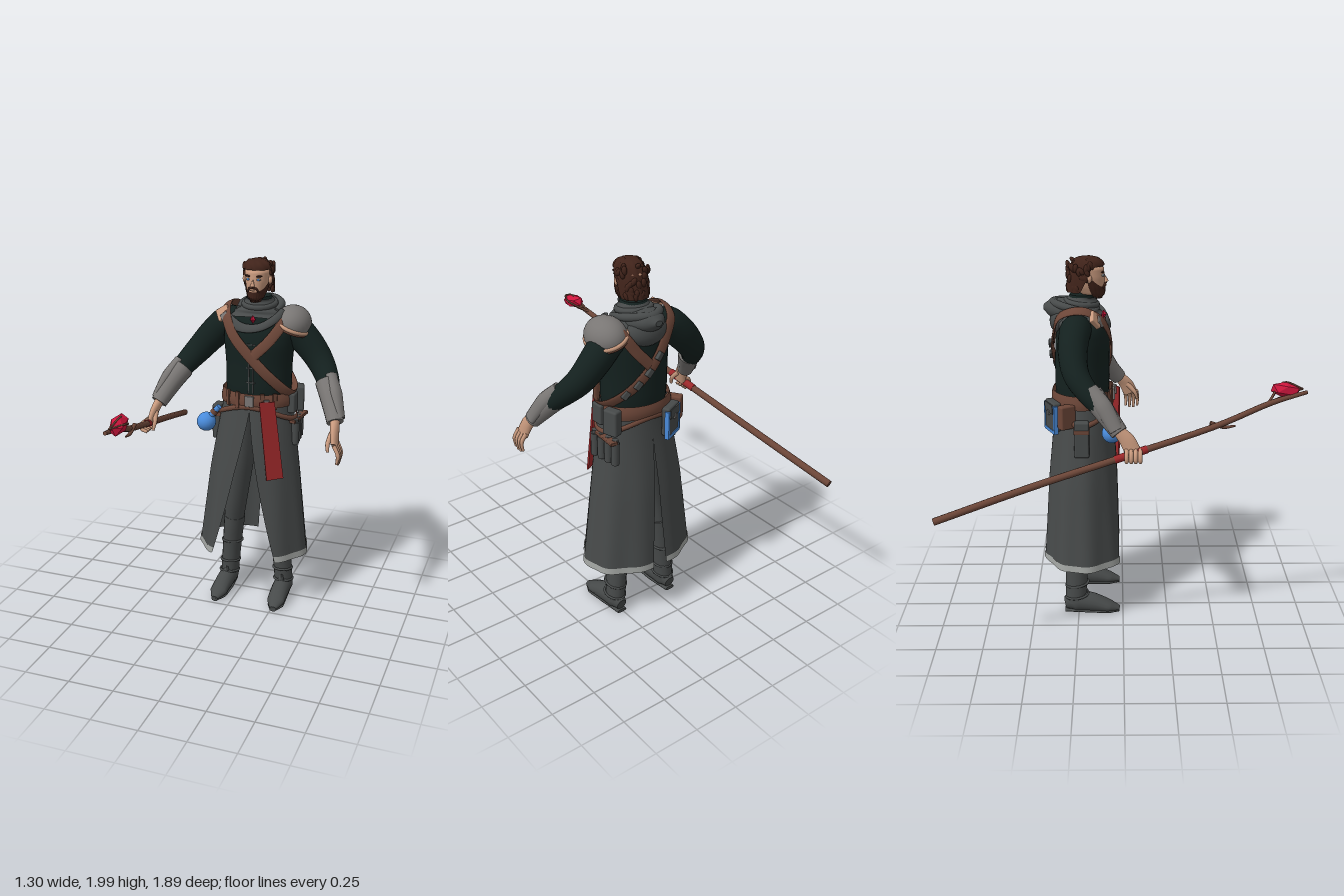
import * as THREE from 'three';
import { RoundedBoxGeometry } from 'three/addons/geometries/RoundedBoxGeometry.js';

const mat = (name, color, double) => {
  const m = new THREE.MeshStandardMaterial({ color });
  m.name = name;
  if (double) m.side = THREE.DoubleSide;
  return m;
};
const V = (x, y, z) => new THREE.Vector3(x, y, z);
const { lerp, smoothstep } = THREE.MathUtils;
const C = 0.105, PI = Math.PI;

export function createModel() {
  const coat = mat('charcoalCloth', 0x474a4a, true), metal = mat('greySteel', 0x797674), pale = mat('paleTrim', 0xa2a5a2, true);
  const shirt = mat('darkGreenWool', 0x14211f), leather = mat('brownLeather', 0x6c4638, true);
  const skin = mat('skin', 0xc99a7e), hair = mat('brownHair', 0x40231a, true);
  const blue = mat('blueGlass', 0x4a8cdc), red = mat('redCloth', 0x9c282a, true), gem = mat('redCrystal', 0xcc163c);
  const root = new THREE.Group();

  const add = (name, geo, m, p = [0, 0, 0], r = [0, 0, 0], s = [1, 1, 1], parent = root) => {
    const mesh = new THREE.Mesh(geo, m);
    mesh.name = name;
    mesh.position.set(...p); mesh.rotation.set(...r); mesh.scale.set(...s);
    parent.add(mesh);
    return mesh;
  };
  const box = (name, m, size, p, r) => add(name, new RoundedBoxGeometry(...size, 2, Math.min(...size) * 0.2), m, p, r);
  const ball = (name, m, p, s, r) => add(name, new THREE.SphereGeometry(1, 20, 14), m, p, r, s);

  // Surface from fn(u, v); u runs around, v runs along
  const grid = (fn, nu, nv, closed = true, caps = false) => {
    const pos = [], idx = [], w = closed ? nu : nu + 1;
    for (let j = 0; j <= nv; j++) for (let i = 0; i < w; i++) pos.push(...fn(i / nu, j / nv).toArray());
    for (let j = 0; j < nv; j++) for (let i = 0; i < nu; i++) {
      const k = (i + 1) % w, a = j * w + i, b = j * w + k;
      idx.push(a, b, a + w, b, b + w, a + w);
    }
    if (caps) for (const end of [0, 1]) {
      const base = pos.length / 3, c = V(0, 0, 0);
      for (let i = 0; i < nu; i++) { const p = fn(i / nu, end); c.addScaledVector(p, 1 / nu); pos.push(...p.toArray()); }
      pos.push(...c.toArray());
      for (let i = 0; i < nu; i++) {
        const a = base + i, b = base + (i + 1) % nu;
        idx.push(base + nu, end ? a : b, end ? b : a);
      }
    }
    const g = new THREE.BufferGeometry();
    g.setAttribute('position', new THREE.Float32BufferAttribute(pos, 3));
    g.setIndex(idx);
    g.computeVertexNormals();
    return g;
  };
  // Tube through rows [x, y, z, radius along ref, other radius]
  const limb = (name, m, rows, { ref = V(0, 0, 1), center, nu = 14, nv = rows.length * 4, closed = false } = {}) => {
    const curve = new THREE.CatmullRomCurve3(rows.map(r => V(r[0], r[1], r[2])), closed);
    const last = closed ? rows.length : rows.length - 1;
    return add(name, grid((u, v) => {
      const p = curve.getPoint(v), T = curve.getTangent(v), f = v * last, i = Math.min(Math.floor(f), last - 1);
      const A = rows[i], B = rows[(i + 1) % rows.length], k = f - i;
      const N = center ? p.clone().sub(center) : ref.clone();
      N.addScaledVector(T, -N.dot(T)).normalize();
      const S = T.clone().cross(N), a = u * 2 * PI;
      return p.addScaledVector(N, Math.cos(a) * lerp(A[3], B[3], k)).addScaledVector(S, Math.sin(a) * lerp(A[4] ?? A[3], B[4] ?? B[3], k));
    }, nu, nv, true, !closed), m);
  };
  // Oval cross-sections [y, cx, cz, rx, rz] sampled by height; angle 0 is the front
  const profile = rows => (t, y, grow = 0) => {
    let i = 0;
    while (i < rows.length - 2 && y > rows[i + 1][0]) i++;
    const k = THREE.MathUtils.clamp((y - rows[i][0]) / (rows[i + 1][0] - rows[i][0]), 0, 1);
    const [cx, cz, rx, rz] = [1, 2, 3, 4].map(n => lerp(rows[i][n], rows[i + 1][n], k));
    return V(cx + (rx + grow) * Math.sin(t), y, cz + (rz + grow) * Math.cos(t));
  };
  const solid = (name, m, prof, y0, y1, nv = 16) =>
    add(name, grid((u, v) => prof(u * 2 * PI, lerp(y0, y1, v)), 32, nv, true, true), m);

  // Torso and neck
  const torso = profile([[1.22, C, -.22, .175, .14], [1.3, C, -.22, .183, .147], [1.42, C, -.22, .185, .146], [1.54, C, -.215, .195, .147],
    [1.62, C, -.22, .198, .135], [1.68, C, -.23, .165, .11], [1.73, C, -.23, .09, .08], [1.79, C, -.215, .064, .066]]);
  solid('torso', shirt, torso, 1.22, 1.79, 22);
  for (const d of [-.012, .012]) limb('frontSeam', coat, [1.28, 1.4, 1.52].map(y => [C + d, y, torso(0, y).z, .003, .004]));
  for (const y of [1.34, 1.42, 1.55]) box('jacketClasp', coat, [.05, .006, .006], [C, y, torso(0, y).z + .002]);

  // Cowl, draped scarf and hood
  const mantle = profile([[1.6, C, -.22, .185, .15], [1.66, C, -.225, .178, .135], [1.7, C, -.23, .14, .112], [1.745, C, -.22, .085, .085], [1.78, C, -.212, .074, .075]]);
  add('mantle', grid((u, v) => {
    const t = u * 2 * PI;
    return mantle(t, lerp(1.655 + .035 * Math.cos(t), 1.78, v), .004 * Math.sin(v * 18 + 2 * Math.cos(t)));
  }, 40, 14), coat);
  add('scarfFold', new THREE.TorusGeometry(.083, .017, 10, 32), coat, [C, 1.745, -.22], [PI / 2 + .12, 0, 0]);
  limb('scarfDrape', coat, [[-.07, 1.69, -.15, .012, .03], [-.01, 1.655, -.1, .012, .03], [.06, 1.635, -.08, .01, .025], [.15, 1.645, -.082, .01, .022],
    [.22, 1.685, -.115, .012, .022], [.25, 1.72, -.18, .01, .02]], { center: V(C, 1.55, -.22) });
  limb('hoodRim', coat, [[.0, 1.715, -.18, .015], [.0, 1.735, -.28, .02], [.05, 1.745, -.345, .022], [C, 1.745, -.37, .024],
    [.16, 1.745, -.345, .022], [.21, 1.735, -.28, .02], [.21, 1.715, -.18, .015]], { ref: V(0, 1, 0) });
  limb('hoodPoint', coat, [[C, 1.7, -.25, .065, .11], [C, 1.71, -.33, .06, .1], [C, 1.718, -.385, .044, .065], [C, 1.722, -.42, .014, .02]], { ref: V(0, 1, 0), nu: 20 });
  ball('hoodDrape', coat, [C, 1.665, -.325], [.115, .085, .062], [.35, 0, 0]);
  add('throatGem', new THREE.OctahedronGeometry(.019), gem, [C, 1.68, -.102], [0, 0, 0], [.8, 1.2, .9]);

  // Head
  const face = profile([[1.775, C, -.15, .022, .035], [1.79, C, -.16, .038, .06], [1.83, C, -.175, .054, .08], [1.88, C, -.185, .066, .09],
    [1.93, C, -.19, .069, .091], [1.955, C, -.195, .05, .067], [1.968, C, -.2, .02, .03]]);
  solid('head', skin, face, 1.775, 1.968, 20);
  add('nose', new THREE.ConeGeometry(.014, .045, 8), skin, [C, 1.877, -.093], [-.25, 0, 0]);
  for (const s of [-1, 1]) {
    ball('ear', skin, [C + s * .07, 1.88, -.175], [.012, .022, .015]);
    ball('eye', pale, [C + s * .028, 1.892, -.105], [.013, .006, .008]);
    ball('iris', blue, [C + s * .028, 1.892, -.1], [.006, .006, .005]);
    ball('eyebrow', hair, [C + s * .029, 1.909, -.106], [.02, .005, .008], [0, 0, s * .1]);
    limb('moustache', hair, [[C, 1.85, -.088, .005], [C + s * .018, 1.847, -.093, .006], [C + s * .03, 1.825, -.105, .004]]);
  }
  add('beard', grid((u, v) => {
    const t = lerp(-1.6, 1.6, u), top = 1.827 + .07 * Math.min(1, Math.abs(t) / 1.5) ** 3;
    return face(t, lerp(1.768, top, v), .005 + .003 * Math.sin(t * 23) * (1 - v));
  }, 40, 10, false), hair);
  box('lip', skin, [.024, .006, .006], [C, 1.836, -.09]);

  // Swept hair: a rounded cap with overlapping locks
  const hairLow = t => 1.94 - .135 * smoothstep(Math.abs(t), 1.05, 1.95);
  add('hairCap', grid((u, v) => {
    const t = (u - .5) * 2 * PI, a = v * PI / 2, r = Math.cos(a) ** .6 * (1 + .03 * Math.sin(t * 11 + v * 6));
    return V(C + .083 * r * Math.sin(t), lerp(hairLow(t), 1.988, Math.sin(a)), -.198 + .1 * r * Math.cos(t));
  }, 64, 16), hair);
  let seed = 7;
  const rnd = () => (seed = (seed * 16807) % 2147483647) / 2147483647;
  for (let i = 0; i < 60; i++) {
    const t = ((i * 2.4 + PI) % (2 * PI)) - PI, y = lerp(hairLow(t) + .015, 1.97, rnd()), high = y > 1.95, k = high ? .45 + .3 * rnd() : .92;
    ball('hairLock', hair, [C + .08 * k * Math.sin(t), y, -.198 + .099 * k * Math.cos(t)], [.014, .024, .012], [high ? -.9 : -.12, t, (rnd() - .5) * 1.4]);
  }

  // Split coat skirt with a pale hem
  const skirt = profile([[.315, .085, -.23, .315, .212], [.8, .09, -.225, .258, .185], [1.1, .1, -.218, .212, .16], [1.25, C, -.22, .187, .15]]);
  const panel = (s, y0, y1, grow) => grid((u, v) => {
    const y = lerp(y0, y1, v), open = Math.max(0, 1.16 - y) / .84, k = s > 0 ? u : 1 - u;
    const t = s * lerp(.62 * open, PI - .14 * Math.max(0, 1.05 - y) / .73, k);
    const p = skirt(t, y, grow + .006 * open * Math.cos(t * 9));
    p.z += .04 * open * Math.max(0, Math.cos(t));
    return p;
  }, 48, 12, false);
  for (const s of [-1, 1]) {
    add('coatSkirt', panel(s, .315, 1.25, 0), coat);
    add('coatHem', panel(s, .312, .348, .004), pale);
  }

  // Legs and boots
  for (const s of [-1, 1]) {
    const X = d => .09 + s * d;
    limb('trouserLeg', coat, [[X(.075), 1.15, -.22, .1, .08], [X(.09), .85, -.21, .095, .08], [X(.115), .6, -.22, .075, .065], [X(.14), .4, -.25, .06, .052], [X(.165), .12, -.265, .05, .045]]);
    limb('bootShaft', coat, [[X(.132), .47, -.245, .072, .06], [X(.14), .4, -.25, .07, .058], [X(.155), .25, -.26, .062, .054], [X(.17), .06, -.265, .058, .052]]);
    limb('bootFoot', coat, [[X(.17), .05, -.325, .035, .03], [X(.17), .065, -.27, .063, .052], [X(.172), .055, -.17, .052, .052], [X(.176), .034, -.08, .031, .05], [X(.178), .02, -.02, .012, .02]], { ref: V(0, 1, 0) });
    limb('bootSole', coat, [[X(.17), .01, -.328, .01, .03], [X(.17), .01, -.2, .01, .043], [X(.176), .01, -.08, .01, .048], [X(.178), .01, -.02, .01, .018]], { ref: V(0, 1, 0) });
    for (const [y, d, r] of [[.1, .168, .058], [.17, .162, .058], [.3, .15, .062]])
      add('bootStrap', new THREE.TorusGeometry(r, .007, 8, 24), coat, [X(d), y, -.258], [PI / 2 - .15, 0, 0], [.93, 1.08, 1]);
    add('bootFlap', new THREE.ConeGeometry(.035, .09, 4), coat, [X(.17), .12, -.2], [-.3, 0, 0], [1, 1, .4]);
  }

  // Arms, bracers and hands; the right arm reaches a little wider
  for (const s of [-1, 1]) {
    const X = d => C - .003 + s * d * (s < 0 ? 1.05 : 1);
    limb('sleeve', shirt, [[X(.1), 1.62, -.235, .08], [X(.17), 1.625, -.248, .083, .087], [X(.26), 1.545, -.258, .077, .083], [X(.34), 1.45, -.24, .068, .073], [X(.4), 1.37, -.18, .058, .062], [X(.45), 1.28, -.09, .045]], { nu: 20 });
    limb('bracer', metal, [[X(.4), 1.36, -.16, .062], [X(.43), 1.31, -.115, .058], [X(.465), 1.24, -.06, .05], [X(.488), 1.19, -.02, .045]]);
    limb('bracerPlate', metal, [[X(.42), 1.4, -.165, .036, .03], [X(.465), 1.32, -.1, .045, .035], [X(.512), 1.21, -.035, .036, .022]]);
    limb('palm', skin, [[X(.485), 1.2, -.025, .03, .026], [X(.497), 1.15, .02, .04, .022], [X(.507), 1.09, .05, .042, .018]]);
    for (let i = 0; i < 4; i++) {
      const z = .015 + i * .023;
      if (s > 0) limb('finger', skin, [[X(.51), 1.1, z, .012], [X(.535), 1.05, z + .008, .011], [X(.53), .985 + Math.abs(i - 1.5) * .01, z + .006, .007]], { nu: 8 });
      else limb('grippingFinger', skin, [[X(.5), 1.11, z, .012], [X(.54), 1.095, z, .011], [X(.548), 1.06, z, .011], [X(.515), 1.045, z, .009]], { nu: 8 });
    }
    limb('thumb', skin, [[X(.485), 1.15, .03, .015], [X(.475), 1.1, .075, .012], [X(.48), 1.06, .09, .008]], { nu: 8 });
  }

  // Shoulder plates
  const dome = new THREE.SphereGeometry(1, 28, 10, 0, 2 * PI, 0, PI / 2), rim = new THREE.TorusGeometry(1, .07, 8, 36);
  const pauldron = new THREE.Group();
  pauldron.name = 'pauldron';
  pauldron.position.set(.287, 1.645, -.235); pauldron.rotation.z = -.42; pauldron.scale.set(.1, .096, .125);
  root.add(pauldron);
  add('shoulderDome', dome, metal, [0, 0, 0], [0, 0, 0], [1, 1, 1], pauldron);
  add('shoulderTrim', rim, skin, [0, -.04, 0], [PI / 2, 0, 0], [1.02, 1.02, 1.6], pauldron);
  add('shoulderLining', rim, leather, [0, -.2, 0], [PI / 2, 0, 0], [.99, .99, 1], pauldron);
  box('shoulderPatch', skin, [.075, .07, .025], [-.075, 1.69, -.145], [-.5, -.3, .5]);
  box('shoulderBuckle', metal, [.045, .05, .025], [-.055, 1.675, -.122], [-.4, -.3, .6]);

  // Chest straps
  const mid = V(C, 1.45, -.22), flat = p => [...p, .007, .03];
  limb('longStrap', leather, [[.3, 1.27, -.17], [.22, 1.36, -.09], [C, 1.48, -.064], [0, 1.6, -.072], [-.05, 1.69, -.12], [-.07, 1.735, -.22], [-.04, 1.7, -.33],
    [.02, 1.6, -.365], [C, 1.48, -.375], [.22, 1.36, -.34], [.3, 1.28, -.25]].map(flat), { center: mid, closed: true, nu: 10 });
  limb('shortStrap', leather, [[.12, 1.49, -.064], [.2, 1.57, -.074], [.27, 1.67, -.13], [.29, 1.7, -.23], [.27, 1.68, -.33], [.2, 1.58, -.365], [.12, 1.49, -.378]].map(flat), { center: mid, nu: 10 });
  for (const [x, y, z] of [[.07, 1.53, -.383], [.13, 1.455, -.383], [.185, 1.395, -.365], [.24, 1.345, -.335]])
    box('strapPouch', coat, [.032, .045, .025], [x, y, z], [0, -(x - C) * 3, .7]);

  // Belts
  const ring = (name, yf, h, grow) => add(name, grid((u, v) => {
    const t = u * 2 * PI;
    return skirt(t, yf(t) + h * (v - .5), grow * (.6 + .4 * Math.sin(v * PI)));
  }, 48, 6), leather);
  ring('mainBelt', () => 1.24, .075, .018);
  ring('hipBelt', t => 1.205 - .08 * Math.sin(t) ** 2, .03, .017);
  box('buckle', metal, [.05, .06, .015], [C, 1.24, -.05]);
  for (const t of [-.7, -.35, .35, .7]) {
    const p = skirt(t, 1.24, .016);
    box('beltLoop', leather, [.025, .09, .014], p.toArray(), [0, t, 0]);
  }

  // Pouches and vials on both hips
  box('hipPouch', coat, [.055, .14, .085], [.31, 1.21, -.315], [0, .3, 0]);
  box('smallPouch', coat, [.045, .11, .075], [.305, 1.215, -.2]);
  for (let i = 0; i < 4; i++) {
    const z = -.19 - i * .05;
    add('vial', new THREE.CylinderGeometry(.023, .021, .125, 12), coat, [.328 - i * .006, 1.04, z]);
    add('vialCap', new THREE.CylinderGeometry(.016, .016, .02, 12), coat, [.328 - i * .006, 1.11, z]);
  }
  box('vialStrap', leather, [.04, .018, .2], [.322, 1.11, -.265], [0, -.1, 0]);
  box('sidePouch', coat, [.05, .2, .08], [-.132, 1.055, -.22]);
  box('sidePouchStrap', leather, [.055, .025, .085], [-.132, 1.1, -.22]);
  box('leatherPouch', leather, [.05, .13, .09], [-.1, 1.17, -.3], [0, .6, 0]);

  // Blue-framed satchel on the back
  const satchel = new THREE.Group();
  satchel.name = 'satchel';
  satchel.position.set(-.015, 1.155, -.375); satchel.rotation.y = PI + .45;
  root.add(satchel);
  add('satchelBody', new RoundedBoxGeometry(.12, .16, .045, 2, .01), coat, undefined, undefined, undefined, satchel);
  for (const [w, h, x, y] of [[.135, .018, 0, -.082], [.014, .15, -.062, -.01], [.014, .15, .062, -.01]])
    add('satchelEdge', new THREE.BoxGeometry(w, h, .024), blue, [x, y, .013], undefined, undefined, satchel);
  add('satchelFlap', new THREE.BoxGeometry(.1, .05, .009), coat, [0, .045, .024], undefined, undefined, satchel);
  add('satchelClasp', new THREE.BoxGeometry(.024, .025, .009), metal, [0, .02, .028], undefined, undefined, satchel);

  // Round flask
  ball('flask', blue, [-.145, 1.095, -.06], [.053, .053, .053]);
  limb('flaskNeck', blue, [[-.12, 1.13, -.06, .016], [-.07, 1.19, -.062, .016]]);
  limb('flaskStrap', leather, [[-.105, 1.148, -.061, .021], [-.09, 1.167, -.063, .021]]);

  // Red hanging cloth
  const cloth = new THREE.Shape([[-.075, 0], [.01, 0], [.075, -.435], [-.02, -.445]].map(p => new THREE.Vector2(...p)));
  add('redSash', new THREE.ExtrudeGeometry(cloth, { depth: .009, bevelEnabled: false }), red, [.233, 1.25, -.062], [-.06, .58, 0]);
  box('sashClip', metal, [.03, .05, .015], [.205, 1.235, -.045], [0, .6, 0]);

  // Staff with a crystal held by twigs
  const up = { ref: V(0, 1, 0), nu: 10 };
  limb('staff', leather, [[-.635, .805, -.94, .019], [-.53, .95, -.45, .019], [-.437, 1.088, .05, .018], [-.355, 1.21, .48, .016], [-.29, 1.31, .76, .015], [-.26, 1.355, .94, .01]], up);
  limb('staffTwig', leather, [[-.345, 1.22, .44, .011], [-.34, 1.195, .51, .01], [-.335, 1.2, .57, .005]], up);
  for (const [x, y] of [[-.2, 1.37], [-.235, 1.4], [-.25, 1.33]])
    limb('crystalTwig', leather, [[-.29, 1.31, .74, .007], [x, y, .82, .005], [-.25, 1.37, .92, .004]], up);
  add('staffCrystal', new THREE.IcosahedronGeometry(1, 0), gem, [-.243, 1.362, .83], [.2, .1, .3], [.044, .042, .085]);
  limb('staffWrap', red, [[-.455, 1.062, -.045, .021], [-.425, 1.108, .12, .021]], up);
  return root;
}
